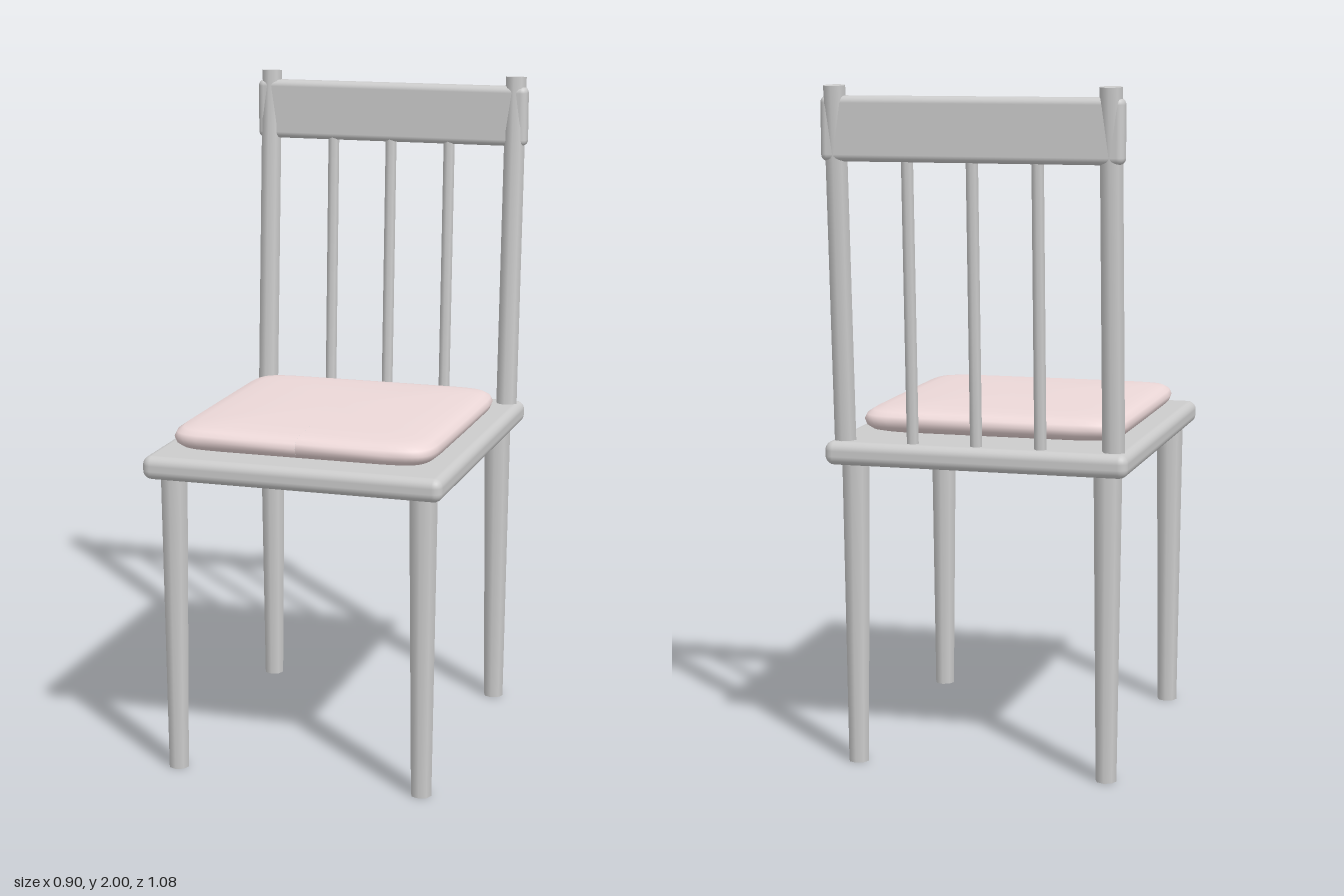
import * as THREE from 'three';
import { mergeVertices } from 'three/addons/utils/BufferGeometryUtils.js';
import { RoundedBoxGeometry } from 'three/addons/geometries/RoundedBoxGeometry.js';

export function createModel() {
  const chair = new THREE.Group();
  chair.name = 'chair';
  const grey = new THREE.MeshStandardMaterial({ color: 0xcccccc });
  const pink = new THREE.MeshStandardMaterial({ color: 0xecd8d8 });

  function add(name, geometry, material = grey) {
    const mesh = new THREE.Mesh(geometry, material);
    mesh.name = name;
    chair.add(mesh);
    return mesh;
  }

  // Eight-sided rod running from point a up to point b
  function rod(name, a, b, radiusA, radiusB = radiusA) {
    const from = new THREE.Vector3(...a), to = new THREE.Vector3(...b);
    const dir = to.clone().sub(from);
    const mesh = add(name, new THREE.CylinderGeometry(radiusB, radiusA, dir.length(), 8));
    mesh.position.addVectors(from, to).multiplyScalar(0.5);
    mesh.quaternion.setFromUnitVectors(new THREE.Vector3(0, 1, 0), dir.normalize());
  }

  function roundedBox(name, w, h, d, radius, y, z) {
    add(name, new RoundedBoxGeometry(w, h, d, 3, radius)).position.set(0, y, z);
  }

  // Seat board
  roundedBox('seat', 0.9, 0.07, 1.045, 0.027, 0.94, 0.0175);

  // Tapered legs and leaning back posts
  for (const [side, x] of [['left', 1], ['right', -1]]) {
    rod(side + 'FrontLeg', [x * 0.378, 0, 0.457], [x * 0.378, 0.92, 0.457], 0.031, 0.042);
    rod(side + 'BackLeg', [x * 0.378, 0, -0.422], [x * 0.378, 0.92, -0.422], 0.031, 0.042);
    rod(side + 'BackPost', [x * 0.4, 0.95, -0.446], [x * 0.4, 1.998, -0.508], 0.033);
  }

  // Back rail and the three spindles below it
  roundedBox('backRail', 0.88, 0.185, 0.054, 0.02, 1.877, -0.502);
  for (const x of [-0.19, 0, 0.19]) {
    rod('backSpindle', [x, 0.95, -0.461], [x, 1.82, -0.498], 0.018);
  }

  // Cushion: a lathed pillow whose round plan is pushed out to a soft square
  const profile = [
    [0, 0.977], [0.7, 0.977], [0.9, 0.98], [0.95, 0.986], [0.985, 0.998], [1, 1.015],
    [0.985, 1.03], [0.945, 1.041], [0.86, 1.047], [0.7, 1.051], [0.4, 1.055], [0, 1.056],
  ].map(([r, y]) => new THREE.Vector2(r, y));
  let cushion = new THREE.LatheGeometry(profile, 48);
  const p = cushion.attributes.position;
  const square = (c) => Math.sign(c) * Math.pow(Math.abs(c), 2 / 10);
  for (let i = 0; i < p.count; i++) {
    const r = Math.hypot(p.getX(i), p.getZ(i));
    if (r < 1e-6) continue;
    p.setX(i, 0.4 * r * square(p.getX(i) / r));
    p.setZ(i, 0.418 * r * square(p.getZ(i) / r));
  }
  cushion.deleteAttribute('normal');
  cushion.deleteAttribute('uv');
  cushion = mergeVertices(cushion);
  cushion.computeVertexNormals();
  add('cushion', cushion, pink).position.z = 0.057;

  return chair;
}
